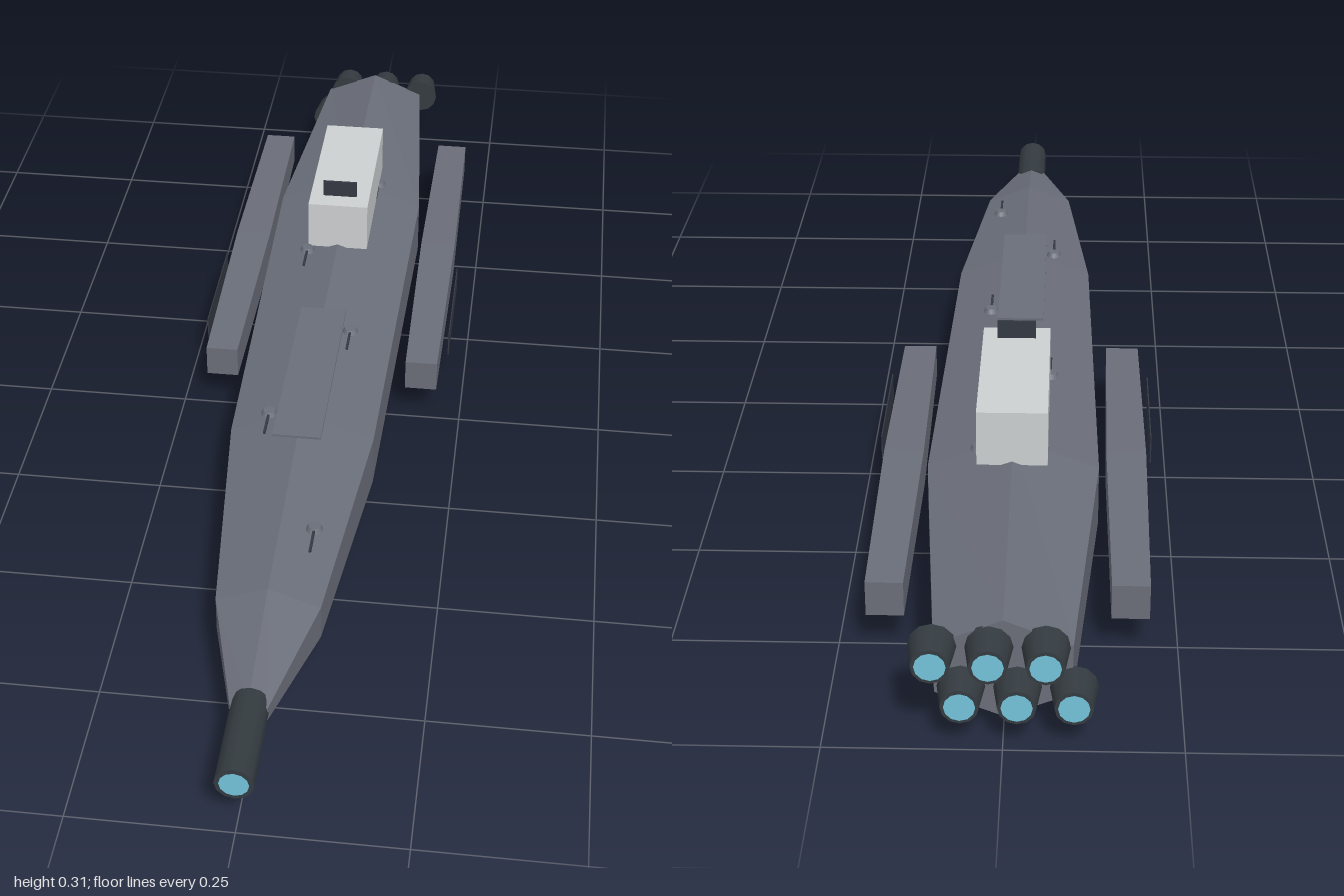
import * as THREE from 'three';

const mat = (name, color, extra = {}) => {
  const m = new THREE.MeshStandardMaterial({ color, ...extra });
  m.name = name;
  return m;
};

// Flat-faced loft through sections [z, scaleX, scaleY] of one outline (counterclockwise seen from the front)
function loft(outline, sections) {
  const pos = [], n = outline.length;
  const at = (s, i) => [outline[i % n][0] * s[1], outline[i % n][1] * s[2], s[0]];
  const tri = (a, b, c) => pos.push(...a, ...b, ...c);
  for (let k = 0; k < sections.length - 1; k++) {
    const f = sections[k], r = sections[k + 1];
    for (let i = 0; i < n; i++) {
      tri(at(f, i), at(r, i), at(r, i + 1));
      tri(at(f, i), at(r, i + 1), at(f, i + 1));
    }
  }
  const first = sections[0], last = sections[sections.length - 1];
  for (let i = 1; i < n - 1; i++) {
    tri(at(first, 0), at(first, i), at(first, i + 1));
    tri(at(last, 0), at(last, i + 1), at(last, i));
  }
  const g = new THREE.BufferGeometry();
  g.setAttribute('position', new THREE.Float32BufferAttribute(pos, 3));
  g.computeVertexNormals();
  return g;
}

export function createModel() {
  const model = new THREE.Group();
  model.name = 'spaceship';
  const hullGrey = mat('hull grey', 0x6a6e79);
  const darkPanel = mat('dark panel', 0x343842);
  const gunmetal = mat('gunmetal', 0x343b40);
  const paleGrey = mat('pale grey', 0xcdd0d2);
  const glowBlue = mat('glow blue', 0x74c3da);

  const add = (name, geo, material, x = 0, y = 0, z = 0, parent = model) => {
    const m = new THREE.Mesh(geo, material);
    m.name = name;
    m.position.set(x, y, z);
    parent.add(m);
    return m;
  };
  const box = (name, material, size, p, parent) =>
    add(name, new THREE.BoxGeometry(...size), material, ...p, parent);
  const tube = (rFront, rBack, length, sides) =>
    new THREE.CylinderGeometry(rFront, rBack, length, sides).rotateX(Math.PI / 2);

  // Six-sided hull with a ridge above and a keel below
  const hexagon = [[1, -0.5], [1, 0.5], [0, 1], [-1, 0.5], [-1, -0.5], [0, -1]];
  add('hull', loft(hexagon, [
    [0.86, 0.028, 0.023], [0.66, 0.081, 0.06], [0.26, 0.12, 0.09],
    [-0.48, 0.134, 0.099], [-0.95, 0.096, 0.079],
  ]), hullGrey, 0, 0.1, 0);

  // Nose gun with a glowing muzzle
  add('noseGun', tube(0.029, 0.029, 0.16, 12), gunmetal, 0, 0.1, 0.919);
  add('noseGlow', new THREE.CircleGeometry(0.022, 12), glowBlue, 0, 0.1, 1.0);

  // Bridge block with its sensor panel, and the deck plate ahead of it
  box('bridge', paleGrey, [0.109, 0.09, 0.295], [0, 0.235, -0.398]);
  box('sensorPanel', darkPanel, [0.062, 0.03, 0.004], [0, 0.295, -0.287]);
  box('deckPlate', hullGrey, [0.08, 0.004, 0.37], [0, 0.194, 0.145]);

  // Side pods, each with a thin outer panel
  const square = [[1, -1], [1, 1], [-1, 1], [-1, -1]];
  for (const side of [1, -1]) {
    add('sidePod', loft(square, [
      [0, 0.028, 0.028], [-0.385, 0.032, 0.032], [-0.77, 0.028, 0.028],
    ]), hullGrey, side * 0.179, 0.092, 0);
    box('podPanel', darkPanel, [0.002, 0.045, 0.22], [side * 0.221, 0.092, -0.21]);
  }

  // Six engines in two staggered rows
  for (const [y, shift] of [[0.136, 0.0195], [0.071, -0.0195]]) {
    for (const i of [-1, 0, 1]) {
      const x = shift + i * 0.078;
      add('engine', tube(0.034, 0.027, 0.052, 12), gunmetal, x, y, -0.973);
      add('engineGlow', new THREE.CircleGeometry(0.022, 12).rotateY(Math.PI), glowBlue, x, y, -1.0);
    }
  }

  // Deck turrets on alternating sides
  for (const [x, y, z] of [[0.053, 0.164, 0.515], [-0.055, 0.188, 0.26],
    [0.053, 0.189, 0.01], [-0.055, 0.19, -0.24], [0.053, 0.19, -0.49]]) {
    const turret = new THREE.Group();
    turret.name = 'deckTurret';
    turret.position.set(x, y, z);
    model.add(turret);
    add('turretBase', new THREE.CylinderGeometry(0.01, 0.014, 0.008, 10), hullGrey, 0, 0, 0, turret);
    box('turretBarrel', darkPanel, [0.004, 0.004, 0.05], [0, 0, 0.033], turret);
  }

  // Keel guns on alternating sides
  for (const [x, y, z] of [[0.054, 0.036, 0.43], [-0.054, 0.022, 0.17],
    [0.054, 0.016, -0.08], [-0.054, 0.015, -0.34]]) {
    box('keelGun', darkPanel, [0.004, 0.005, 0.045], [x, y, z]);
  }
  return model;
}
